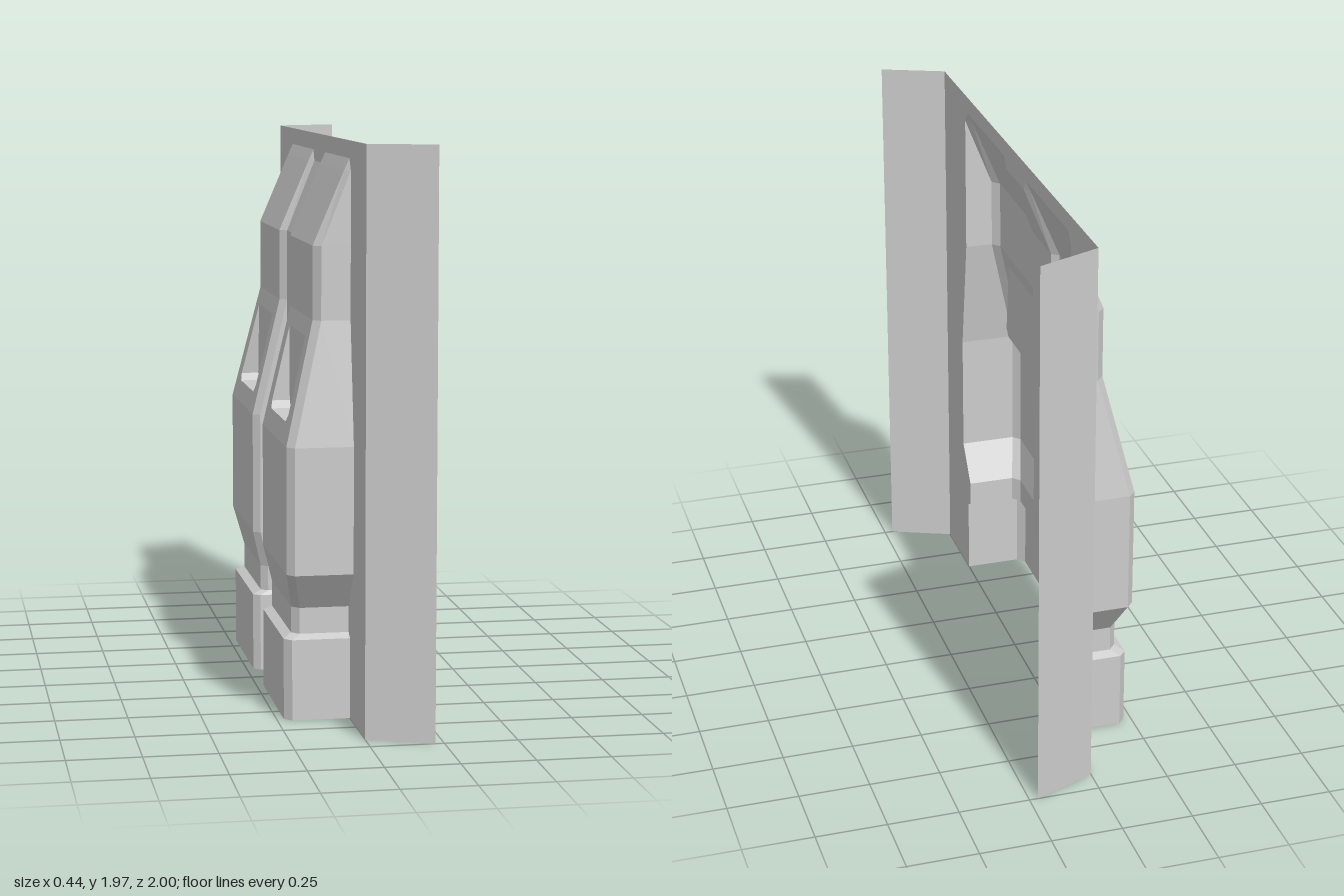
import * as THREE from 'three';

const material = new THREE.MeshStandardMaterial({ color: 0xcccccc, flatShading: true, side: THREE.DoubleSide });

// Key heights: y, outer half width, inner half width, bulge depth, channel depth, chamfer size
const levels = [
  [0.00, 0.63, 0.11, 0.225, 0.14, 1],
  [0.28, 0.63, 0.11, 0.225, 0.14, 1],
  [0.295, 0.60, 0.12, 0.195, 0.11, 1],
  [0.385, 0.60, 0.12, 0.195, 0.11, 1],
  [0.515, 0.695, 0.105, 0.225, 0.105, 1],
  [0.95, 0.695, 0.105, 0.225, 0.105, 1],
  [1.37, 0.63, 0.105, 0.125, 0.10, 1],
  [1.62, 0.63, 0.105, 0.125, 0.10, 1],
  [1.87, 0.63, 0.105, 0.018, 0, 1],
  [1.91, 0.60, 0.125, 0, 0, 0],
  [1.97, 0.60, 0.125, 0, 0, 0],
];
const SLOPE = 5; // row that carries the pockets

// Horizontal section of the pressed sheet, from +z edge to -z edge
function section([y, w, i, d, c, ch]) {
  const wall = Math.max(0, d - 0.025);
  const half = [
    [0.91, 0], [w, 0], [w, wall], [w - 0.028 * ch, d],
    [i + 0.02 * ch, d], [i, wall], [i, c],
  ];
  const mirrored = half.map(([z, x]) => [-z, x]).reverse();
  return [...half, ...mirrored].map(([z, x]) => new THREE.Vector3(-x, y, z));
}

// Flat-faced sheet lofted through rows of points
function loft(rows, closed = false, skip = () => false) {
  const pos = [];
  for (let r = 0; r < rows.length - 1; r++) {
    const n = rows[r].length;
    for (let k = 0; k < (closed ? n : n - 1); k++) {
      if (skip(r, k)) continue;
      const a = rows[r][k], b = rows[r][(k + 1) % n];
      const d = rows[r + 1][k], c = rows[r + 1][(k + 1) % n];
      for (const p of [a, d, c, a, c, b]) pos.push(p.x, p.y, p.z);
    }
  }
  const g = new THREE.BufferGeometry();
  g.setAttribute('position', new THREE.Float32BufferAttribute(pos, 3));
  g.computeVertexNormals();
  return g;
}

// Shape drawn in (z, y), placed at depth x(y)
function placeShape(shape, xAt) {
  const g = new THREE.ShapeGeometry(shape);
  const p = g.attributes.position;
  for (let i = 0; i < p.count; i++) p.setXYZ(i, xAt(p.getY(i)), p.getY(i), p.getX(i));
  // the swap of axes makes the faces look towards -x
  g.computeVertexNormals();
  return g;
}

export function createModel() {
  const model = new THREE.Group();
  const add = (name, geometry, parent = model) => {
    const mesh = new THREE.Mesh(geometry, material);
    mesh.name = name;
    parent.add(mesh);
  };

  // Pressed panel with the two seat-back bulges, left open where the pockets sit
  const rows = levels.map(section);
  add('pressedPanel', loft(rows, false, (r, k) => r === SLOPE && (k === 3 || k === 9)));

  // Sloped faces with recessed pockets
  const low = rows[SLOPE], high = rows[SLOPE + 1];
  const slopeX = (y) => THREE.MathUtils.mapLinear(y, low[3].y, high[3].y, low[3].x, high[3].x);
  const floorX = slopeX(1.31);
  for (const s of [1, -1]) {
    const pocket = new THREE.Group();
    pocket.name = s > 0 ? 'frontPocket' : 'rearPocket';
    const toV2 = ([z, y]) => new THREE.Vector2(s * z, y);
    const outline = [[0.54, 1.31], [0.2, 1.31], [0.2, 1.045], [0.225, 1.02], [0.545, 1.02], [0.57, 1.045]].map(toV2);
    const face = new THREE.Shape([low[3], low[4], high[4], high[3]].map((p) => toV2([p.z, p.y])));
    face.holes.push(new THREE.Path(outline));
    add('slopedFace', placeShape(face, slopeX), pocket);
    add('pocketFloor', placeShape(new THREE.Shape(outline), () => floorX), pocket);
    const rim = outline.map((p) => new THREE.Vector3(slopeX(p.y), p.y, p.x));
    const base = outline.map((p) => new THREE.Vector3(floorX, p.y, p.x));
    add('pocketWall', loft(s > 0 ? [rim, base] : [base, rim], true), pocket);
    model.add(pocket);
  }

  // Angled side flanges
  for (const s of [1, -1]) {
    const edge = (y) => {
      const e = [new THREE.Vector3(0.22, y, s), new THREE.Vector3(0, y, s * 0.91)];
      return s > 0 ? e : e.reverse();
    };
    add(s > 0 ? 'frontFlange' : 'rearFlange', loft([edge(0), edge(1.97)]));
  }
  return model;
}
